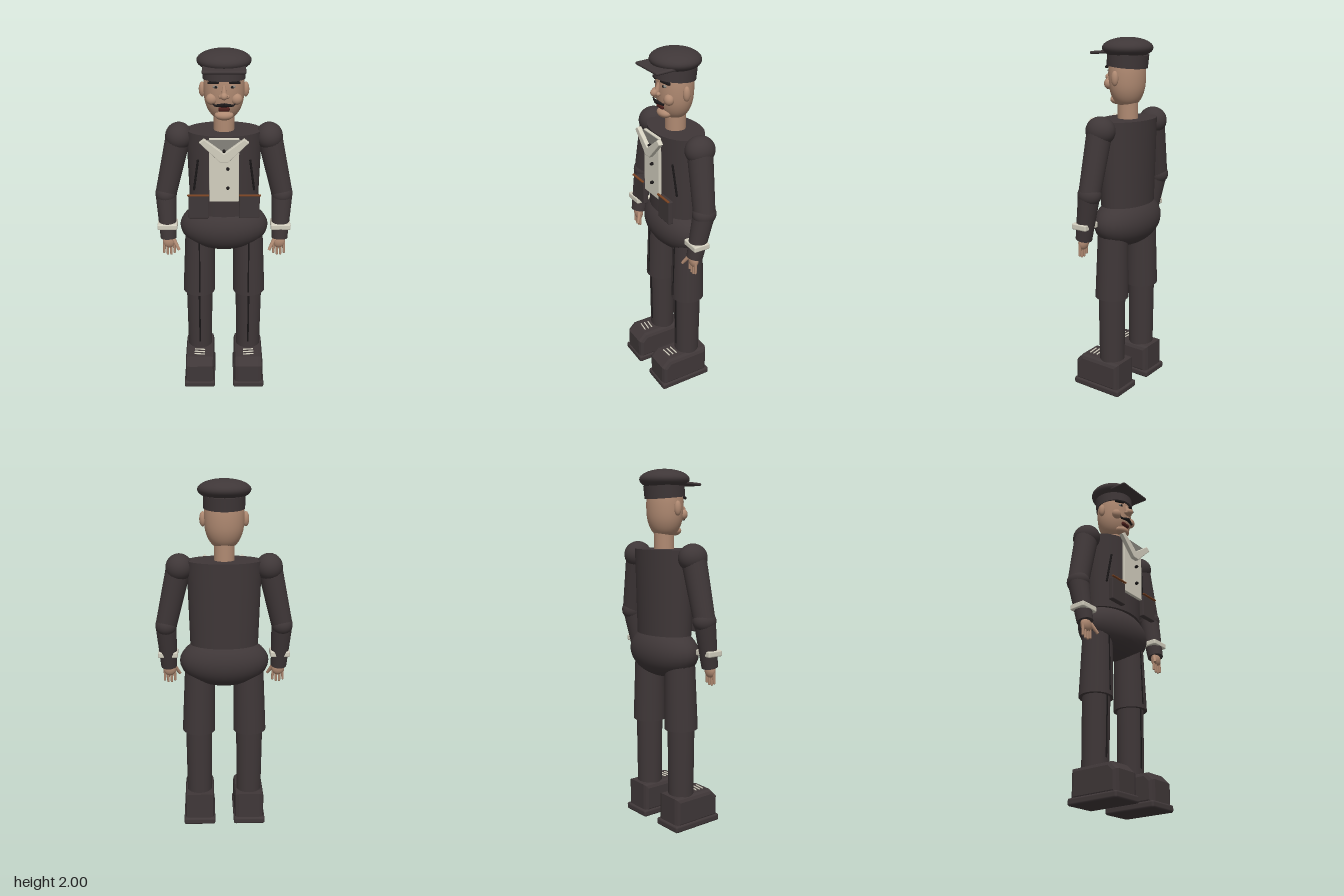
import * as THREE from 'three';
import { RoundedBoxGeometry } from 'three/addons/geometries/RoundedBoxGeometry.js';

const mat = (name, color) => {
  const m = new THREE.MeshStandardMaterial({ color });
  m.name = name;
  return m;
};

export function createModel() {
  const root = new THREE.Group();
  root.name = 'mustachedMan';
  const cloth = mat('dark cloth', 0x3f3738);
  const skin = mat('skin', 0xb08a72);
  const cream = mat('cream linen', 0xd3cfbf);
  const black = mat('black', 0x1b1819);
  const brown = mat('brown leather', 0x7a4322);
  const mouthRed = mat('dark red', 0x4f211d);
  const grey = mat('grey', 0x85837c);

  const add = (name, geo, m, x = 0, y = 0, z = 0, parent = root) => {
    const mesh = new THREE.Mesh(geo, m);
    mesh.name = name;
    mesh.position.set(x, y, z);
    parent.add(mesh);
    return mesh;
  };
  const ball = (name, m, x, y, z, rx, ry = rx, rz = rx, parent = root) => {
    const mesh = add(name, new THREE.SphereGeometry(1, 28, 18), m, x, y, z, parent);
    mesh.scale.set(rx, ry, rz);
    return mesh;
  };
  const box = (name, m, x, y, z, w, h, d, r = 0.006, parent = root) =>
    add(name, new RoundedBoxGeometry(w, h, d, 2, r), m, x, y, z, parent);
  // Tapered round limb from point a (radius ra) to point b (radius rb)
  const limb = (name, m, a, b, ra, rb, parent = root, sides = 24) => {
    const A = new THREE.Vector3(...a), B = new THREE.Vector3(...b);
    const dir = B.clone().sub(A);
    const mesh = add(name, new THREE.CylinderGeometry(rb, ra, dir.length(), sides), m, 0, 0, 0, parent);
    mesh.position.copy(A).add(B).multiplyScalar(0.5);
    mesh.quaternion.setFromUnitVectors(new THREE.Vector3(0, 1, 0), dir.normalize());
    return mesh;
  };

  // Torso and hips
  const torso = add('jacket', new THREE.CylinderGeometry(0.205, 0.19, 0.47, 32), cloth, 0, 1.335, -0.033);
  torso.scale.z = 0.65;
  ball('hips', cloth, 0, 1.0, -0.035, 0.25, 0.145, 0.15);

  // Shirt front, collar and buttons
  box('shirtFront', cream, 0, 1.385, 0.108, 0.16, 0.36, 0.018, 0.004);
  const throat = new THREE.Shape();
  throat.moveTo(-0.09, 0.06).lineTo(0, -0.05).lineTo(0.09, 0.06);
  add('collarInset', new THREE.ExtrudeGeometry(throat, { depth: 0.003, bevelEnabled: false }), grey, 0, 1.5, 0.117);
  for (const s of [-1, 1]) {
    const lapel = new THREE.Shape();
    lapel.moveTo(s * 0.125, 1.55).lineTo(s * 0.105, 1.565).lineTo(0, 1.485)
      .lineTo(0, 1.445).lineTo(s * 0.02, 1.445);
    add('collar', new THREE.ExtrudeGeometry(lapel,
      { depth: 0.018, bevelThickness: 0.004, bevelSize: 0.004, bevelSegments: 2 }), cream, 0, 0, 0.12);
  }
  for (const y of [1.5, 1.4, 1.29]) ball('shirtButton', black, 0.02 * (y < 1.45), y, 0.125, 0.009, 0.009, 0.012);

  // Pockets and jacket seams
  for (const s of [-1, 1]) {
    box('pocket', cloth, s * 0.138, 1.175, 0.108, 0.112, 0.135, 0.03);
    box('pocketTrim', brown, s * 0.14, 1.247, 0.125, 0.118, 0.008, 0.014, 0.003);
    limb('jacketSeam', black, [s * 0.165, 1.25, 0.055], [s * 0.14, 1.43, 0.068], 0.006, 0.006, root, 8);
  }

  // Head
  const head = new THREE.Group();
  head.name = 'head';
  root.add(head);
  limb('neck', skin, [0, 1.54, -0.033], [0, 1.7, -0.033], 0.056, 0.056, head);
  const headProfile = [[0, 1.635], [0.045, 1.64], [0.078, 1.67], [0.1, 1.72], [0.108, 1.78], [0.106, 1.85], [0.09, 1.9], [0, 1.92]]
    .map(p => new THREE.Vector2(...p));
  const skull = add('skull', new THREE.LatheGeometry(new THREE.SplineCurve(headProfile).getPoints(28), 32), skin, 0, 0, -0.028, head);
  skull.scale.z = 0.91;
  ball('chin', skin, 0, 1.668, 0.035, 0.05, 0.027, 0.036, head);
  limb('noseBridge', skin, [0, 1.775, 0.082], [0, 1.835, 0.065], 0.015, 0.009, head, 16);
  ball('noseTip', skin, 0, 1.785, 0.095, 0.019, 0.019, 0.02, head);
  box('mouth', mouthRed, 0, 1.707, 0.058, 0.06, 0.024, 0.022, 0.01, head);
  for (const s of [-1, 1]) {
    ball('cheek', skin, s * 0.065, 1.757, 0.045, 0.03, 0.03, 0.026, head);
    ball('ear', skin, s * 0.115, 1.79, -0.03, 0.018, 0.04, 0.02, head);
    ball('nostril', skin, s * 0.017, 1.779, 0.08, 0.011, 0.011, 0.012, head);
    ball('eye', grey, s * 0.042, 1.825, 0.058, 0.017, 0.008, 0.01, head);
    ball('pupil', black, s * 0.042, 1.825, 0.066, 0.007, 0.007, 0.004, head);
    const brow = box('eyebrow', black, s * 0.055, 1.848, 0.06, 0.062, 0.014, 0.016, 0.005, head);
    brow.rotation.set(0, s * 0.35, -s * 0.12);
    limb('mustache', black, [0, 1.735, 0.083], [s * 0.05, 1.729, 0.068], 0.011, 0.005, head, 12);
    limb('mustacheTip', black, [s * 0.048, 1.729, 0.069], [s * 0.058, 1.74, 0.07], 0.005, 0.002, head, 8);
  }

  // Cap
  const cap = new THREE.Group();
  cap.name = 'cap';
  root.add(cap);
  ball('capCrown', cloth, 0, 1.944, -0.031, 0.143, 0.056, 0.134, cap);
  const band = add('capBand', new THREE.CylinderGeometry(0.113, 0.111, 0.07, 32), cloth, 0, 1.882, -0.031, cap);
  band.rotation.x = -0.09;
  box('capVisor', cloth, 0, 1.921, 0.085, 0.224, 0.016, 0.115, 0.008, cap).rotation.x = 0.06;

  for (const s of [-1, 1]) {
    const side = s > 0 ? 'left' : 'right';

    // Arm
    const arm = new THREE.Group();
    arm.name = side + 'Arm';
    root.add(arm);
    ball('shoulder', cloth, s * 0.245, 1.53, -0.033, 0.074, 0.076, 0.082, arm);
    limb('upperArm', cloth, [s * 0.25, 1.52, -0.03], [s * 0.324, 1.2, -0.017], 0.068, 0.059, arm);
    ball('elbow', cloth, s * 0.324, 1.2, -0.017, 0.06, 0.06, 0.066, arm);
    limb('forearm', cloth, [s * 0.324, 1.2, -0.015], [s * 0.315, 0.945, 0.032], 0.059, 0.045, arm);
    box('cuff', cream, s * 0.318, 1.025, 0.022, 0.112, 0.034, 0.095, 0.008, arm);

    // Hand
    const hand = new THREE.Group();
    hand.name = side + 'Hand';
    arm.add(hand);
    ball('palm', skin, s * 0.312, 0.925, 0.037, 0.036, 0.04, 0.024, hand);
    for (let i = 0; i < 4; i++) {
      const x = 0.285 + i * 0.018, low = i % 3 ? 0.848 : 0.858;
      limb('finger', skin, [s * x, 0.92, 0.04], [s * (x + (i - 1.5) * 0.002), low, 0.042], 0.009, 0.007, hand, 10);
      ball('fingertip', skin, s * (x + (i - 1.5) * 0.002), low, 0.042, 0.007, 0.007, 0.007, hand);
    }
    limb('thumb', skin, [s * 0.285, 0.94, 0.045], [s * 0.254, 0.885, 0.072], 0.012, 0.008, hand, 10);

    // Leg
    const leg = new THREE.Group();
    leg.name = side + 'Leg';
    root.add(leg);
    limb('thigh', cloth, [s * 0.147, 0.575, -0.029], [s * 0.137, 1.0, -0.032], 0.094, 0.083, leg);
    limb('shin', cloth, [s * 0.146, 0.18, -0.029], [s * 0.146, 0.58, -0.029], 0.072, 0.076, leg);
    limb('shinSeam', black, [s * 0.145, 0.24, 0.043], [s * 0.145, 0.575, 0.046], 0.005, 0.005, leg, 8);
    limb('thighSeam', black, [s * 0.142, 0.6, 0.064], [s * 0.14, 0.95, 0.053], 0.004, 0.004, leg, 8);

    // Shoe: side profile pushed out across the foot with bevelled edges
    const shoe = new THREE.Group();
    shoe.name = side + 'Shoe';
    leg.add(shoe);
    box('sole', cloth, s * 0.147, 0.02, 0.025, 0.184, 0.04, 0.32, 0.012, shoe);
    const profile = new THREE.Shape();
    profile.moveTo(-0.1, 0.045).lineTo(0.155, 0.045).lineTo(0.155, 0.14)
      .lineTo(0.125, 0.17).lineTo(-0.1, 0.17);
    const upper = new THREE.ExtrudeGeometry(profile,
      { depth: 0.12, bevelThickness: 0.025, bevelSize: 0.023, bevelSegments: 2 });
    upper.rotateY(-Math.PI / 2);
    add('shoeUpper', upper, cloth, s * 0.146 + 0.06, 0, 0, shoe);
    for (let i = 0; i < 3; i++) {
      limb('lace', cream, [s * 0.115, 0.195, 0.066 + i * 0.024], [s * 0.178, 0.195, 0.06 + i * 0.024], 0.004, 0.004, shoe, 8);
    }
  }

  // Extruded profiles run along +x after turning: flip so the toes face forward
  root.traverse(o => {
    if (o.name !== 'shoeUpper') return;
    o.geometry.computeBoundingBox();
    const b = o.geometry.boundingBox;
    o.position.x = o.parent.parent.name === 'leftLeg' ? 0.146 : -0.146;
    o.position.x -= (b.min.x + b.max.x) / 2;
  });
  return root;
}
